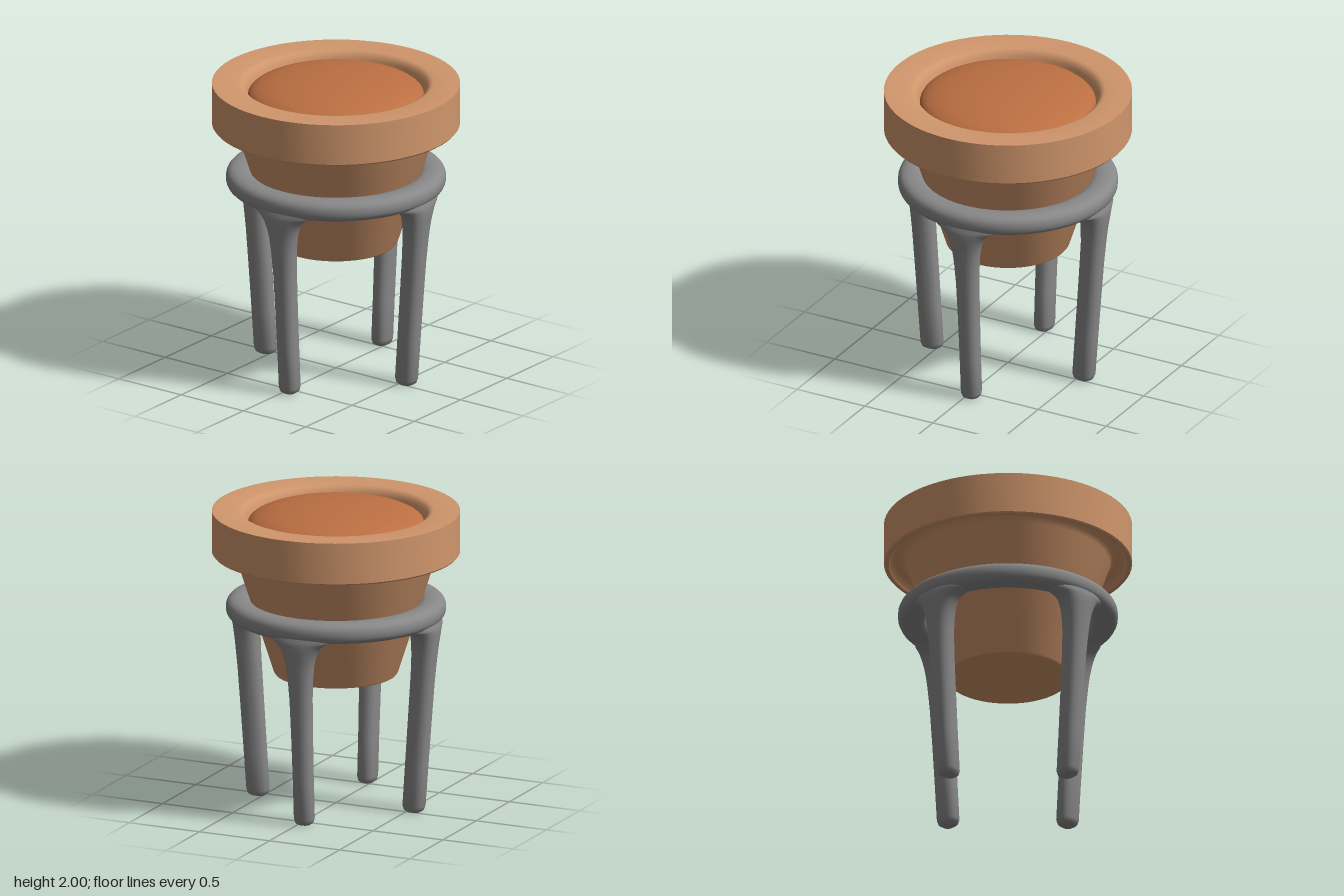
import * as THREE from 'three';
import { toCreasedNormals } from 'three/addons/utils/BufferGeometryUtils.js';

const clay = new THREE.MeshStandardMaterial({ color: 0xd0966c });
const soilColor = new THREE.MeshStandardMaterial({ color: 0xbc6f42 });
const metal = new THREE.MeshStandardMaterial({ color: 0x888888 });

function lathe(name, profile, material, segments = 72) {
  const points = profile.map(([r, y]) => new THREE.Vector2(r, y));
  const geometry = toCreasedNormals(new THREE.LatheGeometry(points, segments), 0.6);
  const mesh = new THREE.Mesh(geometry, material);
  mesh.name = name;
  return mesh;
}

// Leg cross-sections: [y, distance from axis, radial half width, tangential half width]
const legSections = [
  [0, 0.54, 0, 0], [0, 0.54, 0.045, 0.038], [0.012, 0.54, 0.064, 0.055],
  [0.04, 0.541, 0.074, 0.063], [0.3, 0.559, 0.075, 0.063], [0.6, 0.58, 0.076, 0.066],
  [0.85, 0.598, 0.077, 0.071], [1.0, 0.61, 0.079, 0.08], [1.08, 0.615, 0.082, 0.09],
  [1.14, 0.619, 0.085, 0.104], [1.18, 0.622, 0.087, 0.12], [1.21, 0.623, 0.088, 0.14],
  [1.235, 0.623, 0.088, 0.172], [1.25, 0.622, 0.087, 0.215], [1.275, 0.62, 0.08, 0.23],
  [1.31, 0.62, 0.07, 0.23],
];

// Sections are wrapped around the vertical axis so the flared top follows the ring
function legGeometry(sides = 32) {
  const positions = [], indices = [];
  const soften = (v) => Math.sign(v) * Math.abs(v) ** 0.82;
  legSections.forEach(([y, radius, radial, tangential], i) => {
    for (let j = 0; j < sides; j++) {
      const a = (j / sides) * Math.PI * 2;
      const r = radius + radial * soften(Math.cos(a));
      const turn = (tangential * soften(Math.sin(a))) / radius;
      positions.push(r * Math.sin(turn), y, r * Math.cos(turn));
      if (i === 0) continue;
      const k = (j + 1) % sides;
      const low = (i - 1) * sides, high = i * sides;
      indices.push(low + j, low + k, high + j, low + k, high + k, high + j);
    }
  });
  const geometry = new THREE.BufferGeometry();
  geometry.setAttribute('position', new THREE.Float32BufferAttribute(positions, 3));
  geometry.setIndex(indices);
  return toCreasedNormals(geometry, 1.0);
}

export function createModel() {
  const model = new THREE.Group();
  model.name = 'pottedPlanterOnStand';

  // Tapered pot with a thick collar, hollow below the lip and rounded at the mouth
  model.add(lathe('pot', [
    [0, 0.875], [0.392, 0.875], [0.4, 0.885], [0.655, 1.68], [0.675, 1.715],
    [0.705, 1.73], [0.735, 1.722], [0.758, 1.7], [0.768, 1.68], [0.792, 1.678],
    [0.8, 1.688], [0.8, 1.96], [0.63, 1.96], [0.61, 1.955], [0.592, 1.94],
    [0.58, 1.915], [0.572, 1.88], [0.56, 1.85], [0.5, 1.85],
  ], clay));

  // Domed soil surface
  const dome = [];
  for (let i = 0; i <= 20; i++) {
    const a = (i / 20) * Math.PI / 2;
    dome.push([i === 20 ? 0 : 0.568 * Math.cos(a), 1.877 + 0.123 * Math.sin(a)]);
  }
  model.add(lathe('soil', dome, soilColor));

  // Stand: soft oval ring and four splayed legs, turned slightly
  const stand = new THREE.Group();
  stand.name = 'stand';
  const soft = (v) => Math.sign(v) * Math.abs(v) ** 0.8;
  const section = [];
  for (let i = 0; i <= 24; i++) {
    const a = (i / 24) * Math.PI * 2;
    section.push([0.62 + 0.09 * soft(Math.cos(a)), 1.315 + 0.07 * soft(Math.sin(a))]);
  }
  stand.add(lathe('supportRing', section, metal));
  const leg = legGeometry();
  for (let i = 0; i < 4; i++) {
    const mesh = new THREE.Mesh(leg, metal);
    mesh.name = 'leg' + (i + 1);
    mesh.rotation.y = (i * Math.PI) / 2;
    stand.add(mesh);
  }
  stand.rotation.y = 0.062;
  model.add(stand);
  return model;
}
